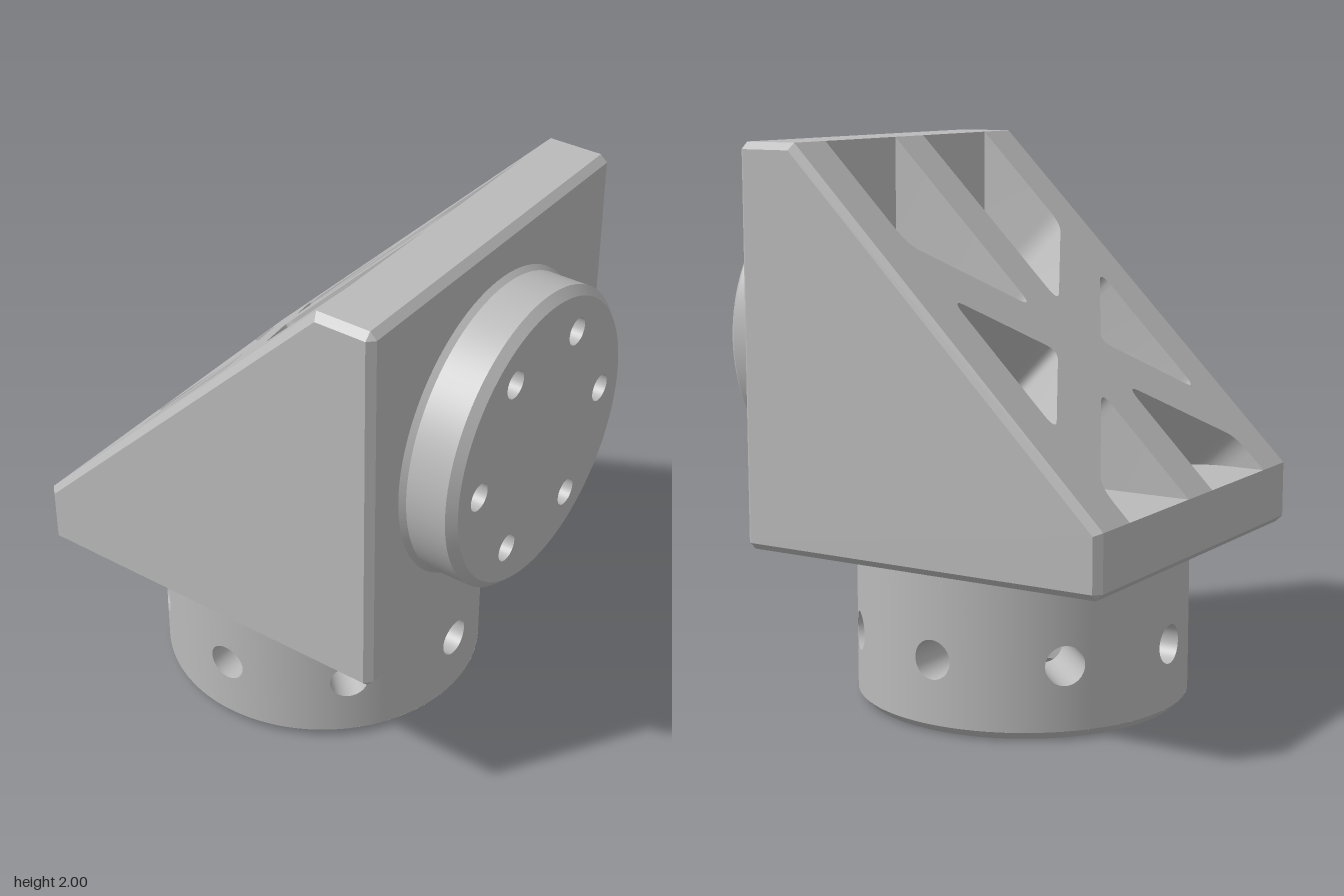
import * as THREE from 'three';
import { mergeGeometries, toCreasedNormals } from 'three/addons/utils/BufferGeometryUtils.js';
import { ParametricGeometry } from 'three/addons/geometries/ParametricGeometry.js';

const V = (x, y, z) => new THREE.Vector3(x, y, z);
const TAU = Math.PI * 2;
const S = 1.615, FLOOR = 0.805, PLATE = 0.385, LOW = -0.81; // slope is y = x + S
const KINK = (LOW + PLATE) / 2; // where pocket walls change from floor to plate
const HOLE_R = 0.05;
const BOLTS = [0, 1, 2, 3, 4, 5].map(i => ({
  y: 1.29 + 0.385 * Math.sin(i * TAU / 6), z: 0.385 * Math.cos(i * TAU / 6) }));

// Flat polygon with optional holes, turned to face the hint direction
function face(pts, out, holes = []) {
  const n = V(0, 0, 0);
  pts.forEach((p, i) => n.add(V(0, 0, 0).crossVectors(p, pts[(i + 1) % pts.length])));
  n.normalize();
  if (n.dot(out) < 0) n.negate();
  const u = (Math.abs(n.y) > 0.9 ? V(1, 0, 0) : V(0, 1, 0)).cross(n).normalize();
  const v = V(0, 0, 0).crossVectors(n, u);
  const flat = list => list.map(p => new THREE.Vector2(p.dot(u), p.dot(v)));
  const tris = THREE.ShapeUtils.triangulateShape(flat(pts), holes.map(flat));
  const all = [pts, ...holes].flat();
  return new THREE.BufferGeometry().setFromPoints(tris.flat().map(i => all[i]));
}

// Circle seen along x, with x given by a function of y and z
const boltCircle = (b, xAt, n = 32) => Array.from({ length: n }, (_, i) => {
  const y = b.y + HOLE_R * Math.sin(i / n * TAU), z = b.z + HOLE_R * Math.cos(i / n * TAU);
  return V(xAt(y, z), y, z);
});

// Bore along x between two surfaces
const boreX = (b, xA, xB) => new ParametricGeometry((u, v, t) => {
  const y = b.y + HOLE_R * Math.sin(u * TAU), z = b.z + HOLE_R * Math.cos(u * TAU);
  t.set(xA(y, z) * (1 - v) + xB(y, z) * v, y, z);
}, 32, 1);

// Outline of [x, z, corner size] with rounded corners
function rounded(pts) {
  const n = pts.length, out = [];
  pts.forEach(([x, z, c], i) => {
    const p = new THREE.Vector2(x, z);
    if (!c) return out.push(p);
    const toward = q => new THREE.Vector2(q[0], q[1]).sub(p).setLength(c).add(p);
    const a = toward(pts[(i + n - 1) % n]), b = toward(pts[(i + 1) % n]);
    out.push(...new THREE.QuadraticBezierCurve(a, p, b).getPoints(6));
  });
  return out;
}

const lift = (p, t = 0) => V(p.x + t, p.x + S - t, p.y);
const planeX = (x0, z0, x1, z1) => (y, z) => 2 * (x0 + (x1 - x0) * (z - z0) / (z1 - z0)) + S - y;

// Lightening pockets on the +z half
const lowPocket = rounded([[LOW, 0.51, 0], [-0.70, 0.51, 0.05], [-0.468, 0.09, 0.05], [LOW, 0.09, 0]]);
const highPocket = rounded([[PLATE, 0.51, 0], [0.046, 0.51, 0.05], [-0.192, 0.09, 0.05], [PLATE, 0.09, 0]]);
const midPocket = rounded([[-0.33, 0.15, 0.05], [-0.276, 0.245, 0], [-0.273, 0.25, 0], [-0.125, 0.51, 0.05],
  [-0.535, 0.51, 0.05], [-0.387, 0.25, 0], [-0.384, 0.245, 0]]);
const lowWall = planeX(-0.70, 0.51, -0.468, 0.09);
const highWall = planeX(0.046, 0.51, -0.192, 0.09);
const midWall = planeX(-0.125, 0.51, -0.33, 0.15);
const SIDE_BOLT = BOLTS[0], LOWER_BOLT = BOLTS[5];

// Walls of one pocket, square to the slope, down to the floor or the plate
function pocketWalls(outline, closed, { bolt = null, wall = null, notch = false, tip = false, side = 1 } = {}) {
  const depth = p => tip && p.y < 0.248 ? p.x + S - 1.03 : Math.min(p.x - LOW, PLATE - p.x);
  const mid = outline.reduce((s, p) => s.add(lift(p)), V(0, 0, 0)).divideScalar(outline.length);
  const parts = [];
  for (let i = 0; i < outline.length - (closed ? 0 : 1); i++) {
    const a = outline[i], b = outline[(i + 1) % outline.length];
    if (a.distanceTo(b) < 1e-5) continue;
    const pts = [lift(a), lift(b)];
    if (depth(b) > 1e-5) pts.push(lift(b, depth(b)));
    const long = Math.abs(a.y - b.y) > 0.15 && (b.y - a.y) * side > 0;
    if (long && notch) {
      for (let d = 260; d >= 20; d -= 8) {
        const f = d * Math.PI / 180;
        const y = LOWER_BOLT.y + HOLE_R * Math.sin(f), z = LOWER_BOLT.z + HOLE_R * Math.cos(f);
        if (highWall(y, z) < PLATE - 0.002) pts.push(V(highWall(y, z), y, z));
      }
    }
    if ((a.x - KINK) * (b.x - KINK) < -1e-6) {
      const k = a.clone().lerp(b, (KINK - a.x) / (b.x - a.x));
      pts.push(lift(k, depth(k)));
    }
    if (depth(a) > 1e-5) pts.push(lift(a, depth(a)));
    parts.push(face(pts, mid.clone().sub(lift(a.clone().lerp(b, 0.5))), long && bolt ? [boltCircle(bolt, wall)] : []));
  }
  return toCreasedNormals(mergeGeometries(parts), 0.5);
}

export function createModel() {
  const grey = new THREE.MeshStandardMaterial({ color: 0xbababa, side: THREE.DoubleSide });
  grey.name = 'machined grey';
  const model = new THREE.Group();
  const add = (name, geo, parent = model) => {
    if (!geo.attributes.normal) geo.computeVertexNormals();
    const m = new THREE.Mesh(geo, grey);
    m.name = name;
    parent.add(m);
    return m;
  };

  // Wedge body with chamfered edges
  const P = [[-0.785, 0.58], [0.585, 0.58], [0.61, 0.605], [0.61, 1.975], [0.585, 2], [PLATE, 2], [LOW, FLOOR], [LOW, 0.605]];
  const Q = [[-0.785, 0.605], [0.585, 0.605], [0.585, 0.605], [0.585, 1.975], [0.585, 1.975], [0.395, 1.975], [-0.785, 0.795], [-0.785, 0.605]];
  const shell = [];
  P.forEach((p, i) => {
    const j = (i + 1) % 8, q = P[j], out = V(q[1] - p[1], p[0] - q[0], 0);
    if (i !== 5) {
      shell.push(face([V(...p, 0.685), V(...q, 0.685), V(...q, -0.685), V(...p, -0.685)], out,
        i === 2 ? BOLTS.map(b => boltCircle(b, () => 0.61)) : []));
    }
    for (const s of [1, -1]) {
      const ring = [V(...p, 0.685 * s), V(...q, 0.685 * s), V(...Q[j], 0.71 * s)];
      if (Q[i][0] !== Q[j][0] || Q[i][1] !== Q[j][1]) ring.push(V(...Q[i], 0.71 * s));
      shell.push(face(ring, out.clone().setLength(1).add(V(0, 0, s))));
    }
  });
  for (const s of [1, -1]) shell.push(face([0, 1, 3, 5, 6].map(i => V(...Q[i], 0.71 * s)), V(0, 0, s)));
  add('wedgeBody', mergeGeometries(shell));

  // Ribbed slope face, notched and pierced by the pockets
  const P2 = (x, z) => new THREE.Vector2(x, z);
  const flip = list => list.map(p => P2(p.x, -p.y));
  const outline = [P2(LOW, -0.685), P2(PLATE, -0.685), ...flip(highPocket), ...[...highPocket].reverse(),
    P2(PLATE, 0.685), P2(LOW, 0.685), ...lowPocket, ...flip(lowPocket).reverse()];
  add('ribFace', face(outline.map(p => lift(p)), V(-1, 1, 0),
    [midPocket, flip(midPocket)].map(h => h.map(p => lift(p)))));

  // Pocket floor and inner face of the upright plate
  add('pocketFloor', face([V(LOW, FLOOR, 0.51), V(PLATE, FLOOR, 0.51), V(PLATE, FLOOR, -0.51), V(LOW, FLOOR, -0.51)], V(0, 1, 0)));
  add('plateInnerFace', face([V(PLATE, FLOOR, 0.51), V(PLATE, 2, 0.51), V(PLATE, 2, -0.51), V(PLATE, FLOOR, -0.51)],
    V(-1, 0, 0), BOLTS.map(b => boltCircle(b, () => PLATE))));

  // Pocket walls and the bolt holes through the ribs, mirrored front to back
  for (const s of [1, -1]) {
    const half = new THREE.Group();
    half.name = s > 0 ? 'frontPockets' : 'backPockets';
    half.scale.z = s;
    add('lowPocketWalls', pocketWalls(lowPocket, false, { bolt: LOWER_BOLT, wall: lowWall, side: -1 }), half);
    add('highPocketWalls', pocketWalls(highPocket, false, { bolt: SIDE_BOLT, wall: highWall, notch: true, side: -1 }), half);
    add('midPocketWalls', pocketWalls(midPocket, true, { bolt: SIDE_BOLT, wall: midWall, tip: true }), half);
    add('sideRibHole', boreX(SIDE_BOLT, highWall, midWall), half);
    add('lowerRibHole', boreX(LOWER_BOLT, (y, z) => Math.min(PLATE, highWall(y, z)), lowWall), half);
    model.add(half);
  }

  // Round side flange with six bolt holes
  const band = (r0, y0, r1, y1) => new THREE.CylinderGeometry(r1, r0, y1 - y0, 96, 1, true).translate(0, (y0 + y1) / 2, 0);
  const flange = new THREE.Group();
  flange.name = 'flange';
  flange.position.set(0, 1.29, 0);
  flange.rotation.z = -Math.PI / 2;
  add('flangeBase', band(0.555, 0.61, 0.54, 0.63), flange);
  add('flangeRim', band(0.54, 0.63, 0.54, 0.78), flange);
  add('flangeChamfer', band(0.54, 0.78, 0.51, 0.81), flange);
  model.add(flange);
  const disc = Array.from({ length: 96 }, (_, i) => V(0.81, 1.29 + 0.51 * Math.sin(i / 96 * TAU), 0.51 * Math.cos(i / 96 * TAU)));
  add('flangeFace', face(disc, V(1, 0, 0), BOLTS.map(b => boltCircle(b, () => 0.81))));
  BOLTS.forEach(b => add('flangeHole', boreX(b, () => 0.81, () => PLATE)));

  // Hollow neck with eight radial holes
  const neck = new THREE.Group();
  neck.name = 'neck';
  neck.position.x = -0.1;
  model.add(neck);
  add('neckFlare', band(0.6, 0.565, 0.615, 0.58), neck);
  add('neckChamfer', band(0.57, 0, 0.6, 0.03), neck);
  add('boreChamfer', band(0.34, 0, 0.31, 0.03), neck);
  add('neckEnd', new THREE.RingGeometry(0.34, 0.57, 96).rotateX(Math.PI / 2), neck);
  const HY = 0.26, HR = 0.07;
  const onRing = (t, R, ang, y) => t.set(R * Math.sin(ang), y, R * Math.cos(ang));
  const wallPatch = (R, lo, hi) => new ParametricGeometry((u, v, t) => {
    const c = Math.cos(u * TAU), s = Math.sin(u * TAU), m = Math.max(Math.abs(c), Math.abs(s));
    const edgeY = HY + s / m * (s > 0 ? hi - HY : HY - lo);
    onRing(t, R, THREE.MathUtils.lerp(Math.asin(HR * c / R), c / m * Math.PI / 8, v),
      THREE.MathUtils.lerp(HY + HR * s, edgeY, v));
  }, 48, 8);
  const outer = wallPatch(0.6, 0.03, 0.565), inner = wallPatch(0.31, 0.03, 0.58);
  const radialHole = new ParametricGeometry((u, v, t) => {
    const x = HR * Math.cos(u * TAU), R = v < 0.5 ? 0.6 : 0.31;
    const z = THREE.MathUtils.lerp(Math.sqrt(0.36 - x * x), Math.sqrt(0.0961 - x * x), v);
    t.set(x, HY + HR * Math.sin(u * TAU), z);
  }, 48, 1);
  for (let i = 0; i < 8; i++) {
    for (const [name, geo] of [['neckWall', outer], ['boreWall', inner], ['radialHole', radialHole]]) {
      add(name, geo, neck).rotation.y = i * TAU / 8;
    }
  }
  return model;
}
